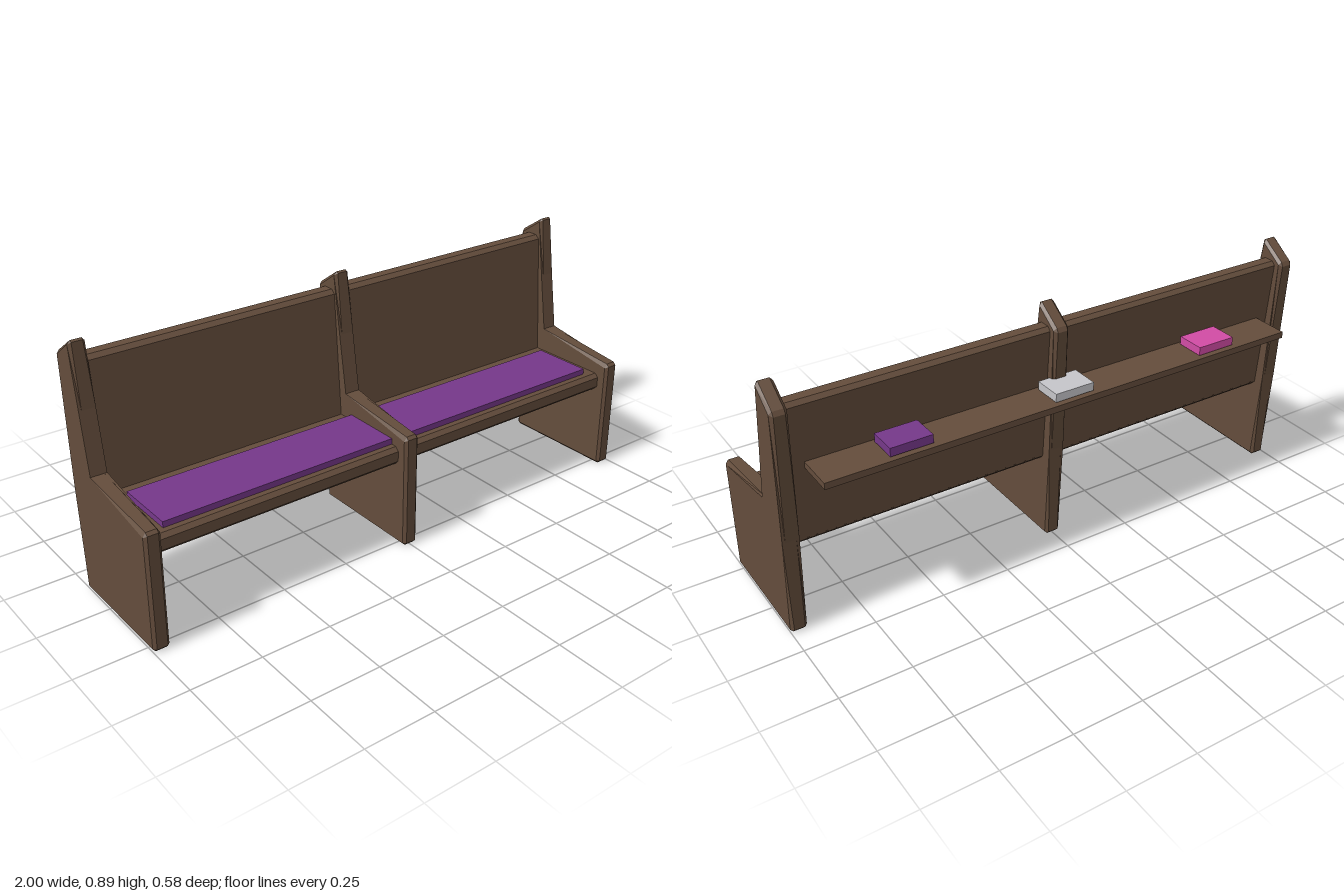
import * as THREE from 'three';

const mat = (name, color) => {
  const m = new THREE.MeshStandardMaterial({ color });
  m.name = name;
  return m;
};

// Panel outline, each row: outer z, outer y, then face (inset) z, y
const PANEL = [
  [0.29, 0.01, 0.28, 0.01], [0.29, 0.41, 0.28, 0.405], [0.28, 0.42, 0.28, 0.405],
  [-0.042, 0.459, -0.042, 0.459], [-0.075, 0.67, -0.075, 0.67],
  [-0.096, 0.885, -0.106, 0.878], [-0.104, 0.89, -0.106, 0.878],
  [-0.192, 0.83, -0.188, 0.82], [-0.2, 0.815, -0.188, 0.82],
  [-0.17, 0.36, -0.17, 0.36], [-0.157, 0.01, -0.146, 0.01],
  [-0.147, 0, -0.146, 0.01], [0.28, 0, 0.28, 0.01],
];

// Upright panel lofted through four rings, with chamfers that fade at the bends
function panelGeometry(half, bevel) {
  const n = PANEL.length, pos = [], idx = [];
  const rings = [[-half, 2], [-half + bevel, 0], [half - bevel, 0], [half, 2]];
  for (const [x, o] of rings) for (const p of PANEL) pos.push(x, p[o + 1], p[o]);
  for (let k = 0; k < 3; k++) {
    for (let i = 0; i < n; i++) {
      const j = (i + 1) % n, a = k * n + i, c = k * n + j;
      idx.push(a, a + n, c, a + n, c + n, c);
    }
  }
  const face = PANEL.map((p) => new THREE.Vector2(p[2], p[3]));
  for (const [a, b, c] of THREE.ShapeUtils.triangulateShape(face, [])) {
    idx.push(a, b, c, 3 * n + a, 3 * n + c, 3 * n + b);
  }
  const g = new THREE.BufferGeometry();
  g.setAttribute('position', new THREE.Float32BufferAttribute(pos, 3));
  g.setIndex(idx);
  const flat = g.toNonIndexed();
  flat.computeVertexNormals();
  return flat;
}

// Board along x whose four-cornered [z, y] section has cut corners
function boardGeometry(corners, length, cut) {
  const pts = [];
  corners.forEach((c, i) => {
    const p = new THREE.Vector2(-c[0], c[1]);
    for (const d of [3, 1]) {
      const q = corners[(i + d) % 4];
      const dir = new THREE.Vector2(-q[0], q[1]).sub(p).normalize();
      pts.push(p.clone().addScaledVector(dir, cut));
    }
  });
  const g = new THREE.ExtrudeGeometry(new THREE.Shape(pts), { depth: length, bevelEnabled: false });
  return g.translate(0, 0, -length / 2).rotateY(Math.PI / 2);
}

export function createModel() {
  const group = new THREE.Group();
  group.name = 'bench';
  const wood = mat('brown wood', 0x644d3c);
  const purple = mat('purple', 0x76388a);
  const pink = mat('pink', 0xd24ca5);
  const white = mat('light grey', 0xc6c6ca);

  const add = (name, geometry, material) => {
    const m = new THREE.Mesh(geometry, material);
    m.name = name;
    group.add(m);
    return m;
  };
  // Box given by its limits
  const box = (name, material, x0, x1, y0, y1, z0, z1) =>
    add(name, new THREE.BoxGeometry(x1 - x0, y1 - y0, z1 - z0), material)
      .position.set((x0 + x1) / 2, (y0 + y1) / 2, (z0 + z1) / 2);

  // Two end panels and the middle support
  const panel = panelGeometry(0.0285, 0.01);
  [['rightPanel', -0.9715], ['middlePanel', 0], ['leftPanel', 0.9715]].forEach(([name, x]) => {
    add(name, panel, wood).position.x = x;
  });

  // Seat and leaning backrest
  add('seat', boardGeometry([[0.25, 0.305], [0.25, 0.37], [-0.13, 0.37], [-0.13, 0.305]], 1.92, 0.014), wood);
  add('backrest', boardGeometry([[-0.065, 0.31], [-0.105, 0.825], [-0.17, 0.825], [-0.13, 0.31]], 1.92, 0.014), wood);

  // Seat cushion
  box('cushion', purple, -0.9, 0.9, 0.365, 0.391, -0.01, 0.215);

  // Rear shelf and the books on it
  box('shelf', wood, -0.895, 0.895, 0.587, 0.61, -0.292, -0.145);
  [['pinkBook', pink, -0.597], ['greyBook', white, 0], ['purpleBook', purple, 0.597]].forEach(([name, m, x]) => {
    box(name, m, x - 0.074, x + 0.074, 0.613, 0.643, -0.274, -0.17);
  });
  return group;
}
